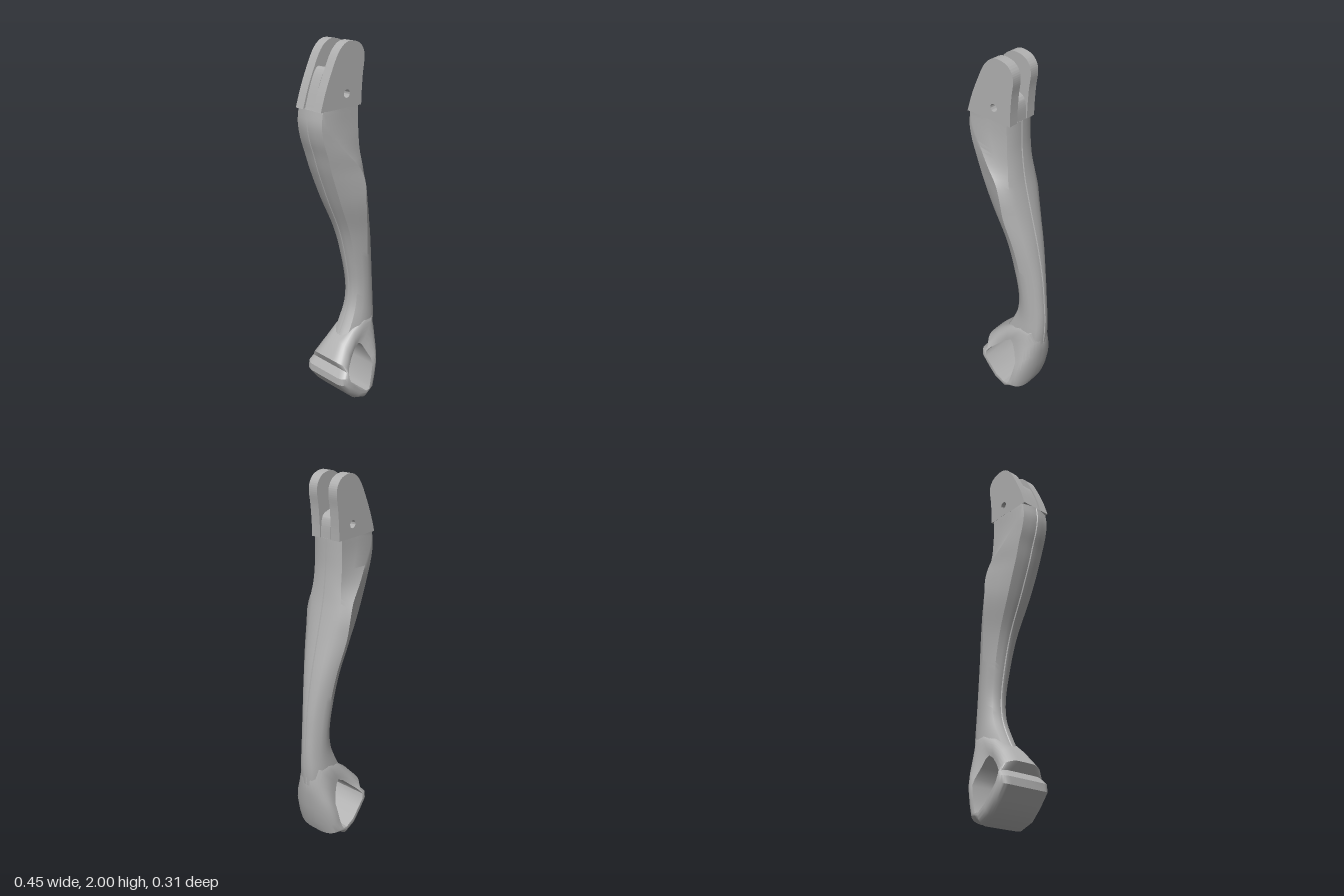
import * as THREE from 'three';
import { toCreasedNormals } from 'three/addons/utils/BufferGeometryUtils.js';

// Skin a list of closed cross-sections; either cap the ends or join them in a ring.
function skin(rings, closed, crease) {
  const n = rings[0].length, m = rings.length, pos = rings.flat(2), idx = [];
  const vec = (i) => new THREE.Vector3().fromArray(pos, i * 3);
  for (let i = 0; i < (closed ? m : m - 1); i++) {
    for (let j = 0; j < n; j++) {
      const a = i * n + j, b = i * n + (j + 1) % n;
      const c = ((i + 1) % m) * n + j, d = ((i + 1) % m) * n + (j + 1) % n;
      idx.push(a, b, c, b, d, c);
    }
  }
  if (!closed) {
    for (const [k, flip] of [[0, true], [m - 1, false]]) {
      const centre = pos.length / 3, mid = [0, 0, 0];
      rings[k].forEach((p) => p.forEach((v, q) => { mid[q] += v / n; }));
      pos.push(...mid);
      for (let j = 0; j < n; j++) {
        const a = k * n + j, b = k * n + (j + 1) % n;
        if (flip) idx.push(b, a, centre); else idx.push(a, b, centre);
      }
    }
  }
  // Turn faces outward when the signed volume is negative
  let volume = 0;
  for (let i = 0; i < idx.length; i += 3) {
    volume += vec(idx[i]).dot(vec(idx[i + 1]).cross(vec(idx[i + 2])));
  }
  if (volume < 0) idx.reverse();
  const g = new THREE.BufferGeometry();
  g.setAttribute('position', new THREE.Float32BufferAttribute(pos, 3));
  g.setIndex(idx);
  return toCreasedNormals(g, crease);
}

// Complete a half section (z >= 0) with its mirror image; end points lie on z = 0.
const mirrorZ = (half) => [...half, ...half.slice(1, -1).reverse().map(([x, y, z]) => [x, y, -z])];

// Plate in the xy plane with the pivot hole, spanning z0..z1
function plate(points, z0, z1) {
  const shape = new THREE.Shape();
  shape.moveTo(...points[0]);
  shape.lineTo(...points[1]);
  shape.splineThru(points.slice(2).map((p) => new THREE.Vector2(...p)));
  const hole = new THREE.Path();
  hole.absarc(-0.05, 1.755, 0.02, 0, Math.PI * 2, true);
  shape.holes.push(hole);
  const g = new THREE.ExtrudeGeometry(shape, { depth: z1 - z0, bevelEnabled: false, curveSegments: 32 });
  g.translate(0, 0, z0);
  return toCreasedNormals(g, 0.6);
}

export function createModel() {
  const group = new THREE.Group();
  const grey = new THREE.MeshStandardMaterial({ color: 0xb0b0b0 });
  grey.name = 'grey';
  const add = (name, geometry) => {
    const mesh = new THREE.Mesh(geometry, grey);
    mesh.name = name;
    group.add(mesh);
  };

  // Curved shaft: y, back x, front x, back corner z, ridge x, ridge z, front corner z
  const stations = [
    [0.36, -0.04, 0.217, 0.05, 0.10, 0.080, 0.05],
    [0.45, 0.010, 0.224, 0.05, 0.12, 0.072, 0.05],
    [0.55, 0.050, 0.224, 0.045, 0.135, 0.068, 0.045],
    [0.65, 0.060, 0.217, 0.045, 0.135, 0.070, 0.045],
    [0.80, 0.040, 0.202, 0.05, 0.12, 0.080, 0.05],
    [1.00, -0.01, 0.165, 0.06, 0.09, 0.104, 0.07],
    [1.20, -0.095, 0.115, 0.075, 0.045, 0.137, 0.09],
    [1.30, -0.135, 0.090, 0.08, 0.03, 0.144, 0.10],
    [1.38, -0.165, 0.072, 0.082, 0.00, 0.138, 0.10],
    [1.46, -0.19, 0.060, 0.085, -0.07, 0.122, 0.09],
    [1.54, -0.217, 0.052, 0.085, -0.13, 0.106, 0.088],
    [1.62, -0.23, 0.050, 0.085, -0.185, 0.094, 0.086],
    [1.69, -0.222, 0.050, 0.085, -0.20, 0.087, 0.086],
  ];
  const curve = new THREE.CubicInterpolant(
    stations.map((s) => s[0]), stations.flatMap((s) => s.slice(1)), 6, new Float32Array(6));
  const shaft = [];
  for (let i = 0; i <= 60; i++) {
    const y = 0.36 + (1.69 - 0.36) * i / 60;
    const [l, r, zb, xc, zc, zr] = curve.evaluate(y);
    const bulge = 0.008 * (1 - THREE.MathUtils.smoothstep(y, 1.1, 1.4));
    shaft.push(mirrorZ([
      [l + 0.006, y, 0], [l, y, 0.004], [l + 0.004, y, zb * 0.5], [l + 0.016, y, zb],
      [(l + 0.016 + xc) / 2, y, (zb + zc) / 2 + bulge], [xc, y, zc],
      [(xc + r - 0.02) / 2, y, (zc + zr) / 2 + bulge], [r - 0.02, y, zr],
      [r - 0.009, y, zr * 0.75], [r - 0.003, y, zr * 0.4], [r, y, 0.004], [r - 0.006, y, 0],
    ]));
  }
  add('shaft', skin(shaft, false, 0.5));

  // Flared loop at the foot: inner x, y, outer x, y, rim half width, outer half width
  const loop = [
    [0.05, 0.345, 0.12, 0.47, 0.085, 0.06],
    [0.015, 0.325, 0.03, 0.43, 0.09, 0.05],
    [-0.03, 0.28, -0.05, 0.37, 0.105, 0.03],
    [-0.065, 0.245, -0.12, 0.29, 0.125, 0.04],
    [-0.08, 0.225, -0.097, 0.242, 0.14, 0.08],
    [-0.087, 0.21, -0.132, 0.205, 0.15, 0.1],
    [-0.08, 0.18, -0.135, 0.165, 0.155, 0.1],
    [-0.045, 0.14, -0.08, 0.09, 0.155, 0.1],
    [0, 0.09, -0.02, 0.03, 0.155, 0.1],
    [0.05, 0.06, 0.05, 0.002, 0.15, 0.1],
    [0.075, 0.062, 0.085, 0.035, 0.15, 0.1],
    [0.085, 0.08, 0.145, 0.028, 0.145, 0.03],
    [0.1, 0.13, 0.175, 0.1, 0.14, 0.005],
    [0.115, 0.2, 0.197, 0.2, 0.135, 0.005],
    [0.115, 0.235, 0.211, 0.3, 0.12, 0.005],
    [0.09, 0.29, 0.218, 0.4, 0.1, 0.005],
    [0.07, 0.33, 0.19, 0.47, 0.09, 0.04],
  ];
  add('footLoop', skin(loop.map(([xi, yi, xo, yo, w, zo]) => {
    const at = (t, z) => [xi + (xo - xi) * t, yi + (yo - yi) * t, z];
    const half = [at(0, 0), at(0, w)];
    for (let k = 0; k <= 8; k++) {
      const a = k / 8 * Math.PI / 2;
      half.push(at(0.2 + 0.8 * Math.sin(a), zo + (w - zo) * Math.cos(a)));
    }
    half.push(at(1, 0));
    return mirrorZ(half);
  }), true, 0.55));

  // Two fork arms at the top
  const arm = [[-0.222, 1.688], [0.05, 1.688], [0.053, 1.76], [0.06, 1.84], [0.07, 1.91], [0.062, 1.955],
    [0.03, 1.988], [-0.025, 2], [-0.07, 1.986], [-0.11, 1.945], [-0.15, 1.87], [-0.19, 1.78], [-0.222, 1.688]];
  add('leftForkArm', plate(arm, 0.035, 0.087));
  add('rightForkArm', plate(arm, -0.087, -0.035));

  // Tongue standing in the fork slot
  add('tongue', plate([[-0.215, 1.688], [0.048, 1.688], [0.046, 1.76], [0.03, 1.8], [-0.02, 1.82], [-0.07, 1.84],
    [-0.1, 1.872], [-0.13, 1.88], [-0.155, 1.85], [-0.185, 1.78], [-0.215, 1.688]], -0.03, 0.03));
  return group;
}
